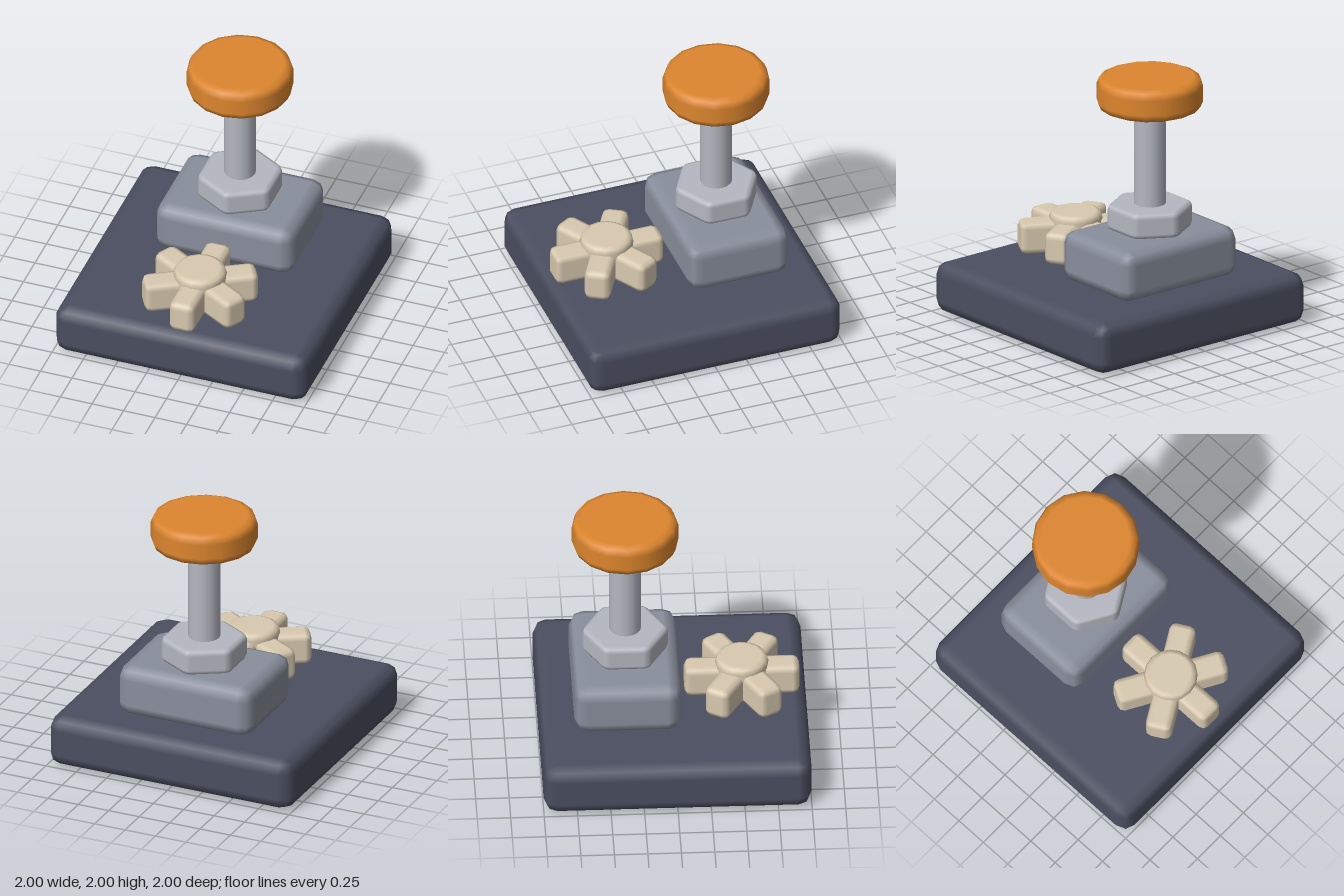
import * as THREE from 'three';

const mat = (name, color) => {
  const m = new THREE.MeshStandardMaterial({ color });
  m.name = name;
  return m;
};

// Box with two-step rounded edges: each vertex is an inner corner plus a radius along its normal
function roundedBox(w, h, d, r) {
  const g = new THREE.BoxGeometry(1, 1, 1, 3, 3, 3);
  const p = g.attributes.position, nrm = g.attributes.normal;
  const half = new THREE.Vector3(w / 2 - r, h / 2 - r, d / 2 - r);
  const v = new THREE.Vector3(), n = new THREE.Vector3();
  const outer = (c) => (Math.abs(c) > 0.4 ? Math.sign(c) : 0);
  for (let i = 0; i < p.count; i++) {
    v.fromBufferAttribute(p, i);
    n.set(outer(v.x), outer(v.y), outer(v.z)).normalize();
    nrm.setXYZ(i, n.x, n.y, n.z);
    v.set(Math.sign(v.x), Math.sign(v.y), Math.sign(v.z)).multiply(half).addScaledVector(n, r);
    p.setXYZ(i, v.x, v.y, v.z);
  }
  return g;
}

// Outline entries: a core point plus an outward angle (0 = front, turning to +x)
const roundOutline = (sides) =>
  Array.from({ length: sides }, (_, i) => ({ x: 0, z: 0, a: (i / sides) * Math.PI * 2 }));

function hexOutline(core) {
  const out = [];
  for (let i = 0; i < 6; i++) {
    const c = (i * Math.PI) / 3;
    for (const t of [-1, 0, 1]) {
      out.push({ x: core * Math.sin(c), z: core * Math.cos(c), a: c + (t * Math.PI) / 6 });
    }
  }
  return out;
}

// Upright prism with bevelled rims, base at y = 0
function bevelledPrism(outline, radius, height, bevel) {
  const pos = [], nor = [], idx = [], n = outline.length;
  const rings = [];
  for (const end of [-1, 1]) {
    for (let s = 0; s <= 2; s++) {
      const t = ((end < 0 ? s - 2 : s) * Math.PI) / 4;
      const y = end < 0 ? bevel : height - bevel;
      rings.push({ o: radius - bevel + bevel * Math.cos(t), y: y + bevel * Math.sin(t), t });
    }
  }
  for (const { o, y, t } of rings) {
    for (const { x, z, a } of outline) {
      pos.push(x + Math.sin(a) * o, y, z + Math.cos(a) * o);
      nor.push(Math.sin(a) * Math.cos(t), Math.sin(t), Math.cos(a) * Math.cos(t));
    }
  }
  pos.push(0, 0, 0, 0, height, 0);
  nor.push(0, -1, 0, 0, 1, 0);
  const bottom = rings.length * n, last = bottom - n;
  for (let j = 0; j < n; j++) {
    const k = (j + 1) % n;
    for (let r = 0; r < rings.length - 1; r++) {
      const a = r * n + j, b = r * n + k;
      idx.push(a, b, b + n, a, b + n, a + n);
    }
    idx.push(bottom, k, j, bottom + 1, last + j, last + k);
  }
  const g = new THREE.BufferGeometry();
  g.setAttribute('position', new THREE.Float32BufferAttribute(pos, 3));
  g.setAttribute('normal', new THREE.Float32BufferAttribute(nor, 3));
  g.setIndex(idx);
  return g;
}

export function createModel() {
  const model = new THREE.Group();
  model.name = 'leverStand';
  const slate = mat('dark slate', 0x4b4f60);
  const grey = mat('blue grey', 0x898f9d);
  const steel = mat('light steel', 0xb5b8c1);
  const orange = mat('orange', 0xdd862d);
  const cream = mat('cream', 0xd9cab0);

  const add = (name, geometry, material, x, y, z, parent = model) => {
    const mesh = new THREE.Mesh(geometry, material);
    mesh.name = name;
    mesh.position.set(x, y, z);
    parent.add(mesh);
    return mesh;
  };

  // Base and lever, stacked upward
  const leverZ = -0.35;
  add('basePlate', roundedBox(2, 0.4, 2, 0.1), slate, 0, 0.2, 0);
  add('mountingBlock', roundedBox(1.1, 0.4, 0.8, 0.1), grey, 0, 0.6, leverZ);
  add('hexNut', bevelledPrism(hexOutline(0.249), 0.07, 0.2, 0.04), steel, 0, 0.8, leverZ);
  add('shaft', new THREE.CylinderGeometry(0.12, 0.12, 0.8, 16), steel, 0, 1.38, leverZ);
  add('knob', bevelledPrism(roundOutline(16), 0.4, 0.255, 0.07), orange, 0, 1.745, leverZ);

  // Six-toothed gear lying on the base in front of the block
  const gear = new THREE.Group();
  gear.name = 'gear';
  gear.position.set(0, 0.4, 0.52);
  model.add(gear);
  add('gearHub', bevelledPrism(roundOutline(16), 0.2, 0.31, 0.05), cream, 0, 0, 0, gear);
  const toothGeometry = roundedBox(0.2, 0.25, 0.31, 0.05).translate(0, 0.125, 0.275);
  for (let i = 0; i < 6; i++) {
    add('gearTooth', toothGeometry, cream, 0, 0, 0, gear).rotation.y = (i * Math.PI) / 3;
  }
  return model;
}
